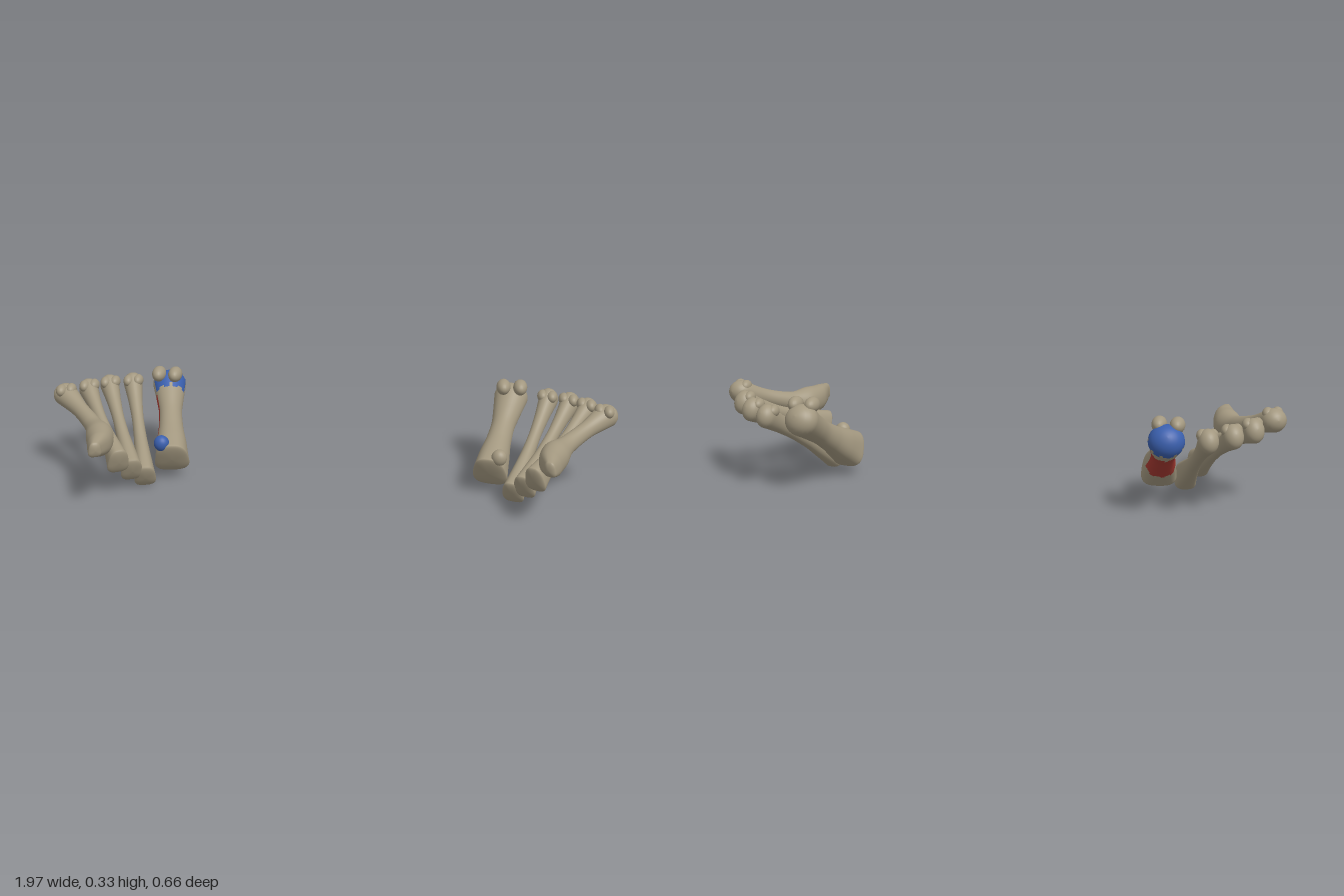
import * as THREE from 'three';

const mat = (name, color) => {
  const m = new THREE.MeshStandardMaterial({ color });
  m.name = name;
  return m;
};
const vec = (x, y, z = 0) => new THREE.Vector3(x, y, z);

// Half width and half height at even steps from base to head
const profile = (...pairs) => new THREE.CatmullRomCurve3(pairs.map((p) => vec(...p)));
const STOUT = profile([0.058, 0.066], [0.053, 0.058], [0.044, 0.048], [0.041, 0.044], [0.049, 0.048], [0.06, 0.056]);
const SLIM = profile([0.036, 0.05], [0.029, 0.039], [0.023, 0.028], [0.021, 0.025], [0.025, 0.03], [0.034, 0.042]);
const FLARED = profile([0.022, 0.028], [0.042, 0.046], [0.048, 0.052], [0.031, 0.034], [0.028, 0.03], [0.043, 0.041]);

// Each bone runs from its base to its head; bow bends the middle, dome rounds the head
const STRAIGHT = vec(0, -0.004);
const BONES = [
  { name: 'firstMetatarsal', from: vec(0.557, 0.092, 0.018), to: vec(0.621, 0.258, -0.28), size: STOUT, bow: STRAIGHT, dome: 0.05 },
  { name: 'secondMetatarsal', from: vec(0.638, 0.049, 0.09), to: vec(0.754, 0.262, -0.267), size: SLIM, bow: STRAIGHT, dome: 0.036 },
  { name: 'thirdMetatarsal', from: vec(0.675, 0.088, 0.128), to: vec(0.828, 0.27, -0.215), size: SLIM, bow: STRAIGHT, dome: 0.034 },
  { name: 'fourthMetatarsal', from: vec(0.709, 0.138, 0.178), to: vec(0.888, 0.277, -0.145), size: SLIM, bow: STRAIGHT, dome: 0.032 },
  { name: 'fifthMetatarsal', from: vec(0.752, 0.232, 0.312), to: vec(0.942, 0.291, -0.04), size: FLARED, bow: vec(-0.06, -0.036), dome: 0.042 },
];

// Frame of a bone: d runs to the head, u sideways, v upward
function frameOf({ from, to }) {
  const d = to.clone().sub(from).normalize();
  const u = d.clone().cross(vec(0, 1)).normalize();
  return { d, u, v: u.clone().cross(d) };
}

// Loft of oval rings along the bone, closed by a flat base and a domed head
function boneGeometry(bone, side, paint) {
  const SEG = 32, RINGS = 40, CAP = 7;
  const { d, u, v } = frameOf(bone);
  const pos = [], faces = [[], [], []];
  for (let i = -CAP; i <= RINGS + CAP; i++) {
    const s = i / RINGS;
    const t = THREE.MathUtils.clamp(s, 0, 1);
    const turn = (Math.max(-i, i - RINGS, 0) / CAP) * Math.PI / 2;
    const c = bone.from.clone().lerp(bone.to, t)
      .addScaledVector(bone.bow, Math.sin(t * Math.PI))
      .addScaledVector(d, Math.sin(turn) * (i < 0 ? -0.012 : bone.dome));
    const r = bone.size.getPoint(t).multiplyScalar(Math.max(Math.cos(turn), 0.001));
    // The base is boxier and narrows upward
    const box = Math.pow(1 - t, 4);
    const square = (n) => Math.sign(n) * Math.pow(Math.abs(n), 1 - 0.3 * box);
    for (let j = 0; j < SEG; j++) {
      const a = (j / SEG) * Math.PI * 2;
      const up = square(Math.sin(a));
      const p = c.clone().addScaledVector(u, square(Math.cos(a)) * r.x * (1 - 0.2 * box * up))
        .addScaledVector(v, up * r.y);
      pos.push(p.x * side, p.y, p.z);
      if (i === RINGS + CAP) continue;
      const A = (i + CAP) * SEG + j, B = (i + CAP) * SEG + (j + 1) % SEG;
      const C = A + SEG, E = B + SEG;
      const out = faces[paint ? paint(s, a) : 0];
      if (side > 0) out.push(A, C, B, B, C, E);
      else out.push(A, B, C, B, E, C);
    }
  }
  const g = new THREE.BufferGeometry();
  g.setAttribute('position', new THREE.Float32BufferAttribute(pos, 3));
  g.setIndex(faces.flat());
  let start = 0;
  faces.forEach((f, m) => {
    if (f.length) g.addGroup(start, f.length, m);
    start += f.length;
  });
  g.computeVertexNormals();
  return g;
}

// Painted zones of the first bone: 0 bone, 1 blue joint cap, 2 red shaft
function paintFirst(s, a) {
  const up = Math.sin(a), out = Math.cos(a);
  const ragged = 0.025 * Math.sin(a * 9);
  if (s > 0.98 + ragged || (up > 0.2 && s > 0.85 + ragged)) return 1;
  if (s > 0.25 + ragged && s < 0.8 + ragged && up < 0.15 + 0.2 * out) return 2;
  return 0;
}

function blob(name, material, center, side, radii) {
  const m = new THREE.Mesh(new THREE.SphereGeometry(1, 24, 16), material);
  m.name = name;
  m.position.set(center.x * side, center.y, center.z);
  m.scale.set(...radii);
  return m;
}

export function createModel() {
  const bone = mat('bone', 0xa39880);
  const blue = mat('jointBlue', 0x3a5fad);
  const red = mat('shaftRed', 0xa83a32);
  const model = new THREE.Group();
  model.name = 'metatarsals';

  for (const side of [1, -1]) {
    const foot = new THREE.Group();
    foot.name = side > 0 ? 'leftFootBones' : 'rightFootBones';

    BONES.forEach((spec, i) => {
      const paint = side < 0 && i === 0 ? paintFirst : null;
      const mesh = new THREE.Mesh(boneGeometry(spec, side, paint), paint ? [bone, blue, red] : bone);
      mesh.name = spec.name;
      foot.add(mesh);
      if (i === 0) return;
      // Paired knuckles on the upper side of the head
      const { d, u, v } = frameOf(spec);
      for (const k of [-1, 1]) {
        const c = spec.to.clone().addScaledVector(u, k * 0.017)
          .addScaledVector(v, 0.023).addScaledVector(d, -0.008);
        foot.add(blob(spec.name + 'Condyle', bone, c, side, [0.019, 0.021, 0.028]));
      }
    });

    // Two small round bones above the first head, and the bump at its base
    for (const x of [0.593, 0.652]) {
      foot.add(blob('sesamoid', bone, vec(x, 0.307, -0.252), side, [0.025, 0.027, 0.04]));
    }
    foot.add(blob('baseTubercle', side < 0 ? blue : bone, vec(0.588, 0.152, 0.036), side, [0.027, 0.029, 0.025]));
    model.add(foot);
  }
  return model;
}
